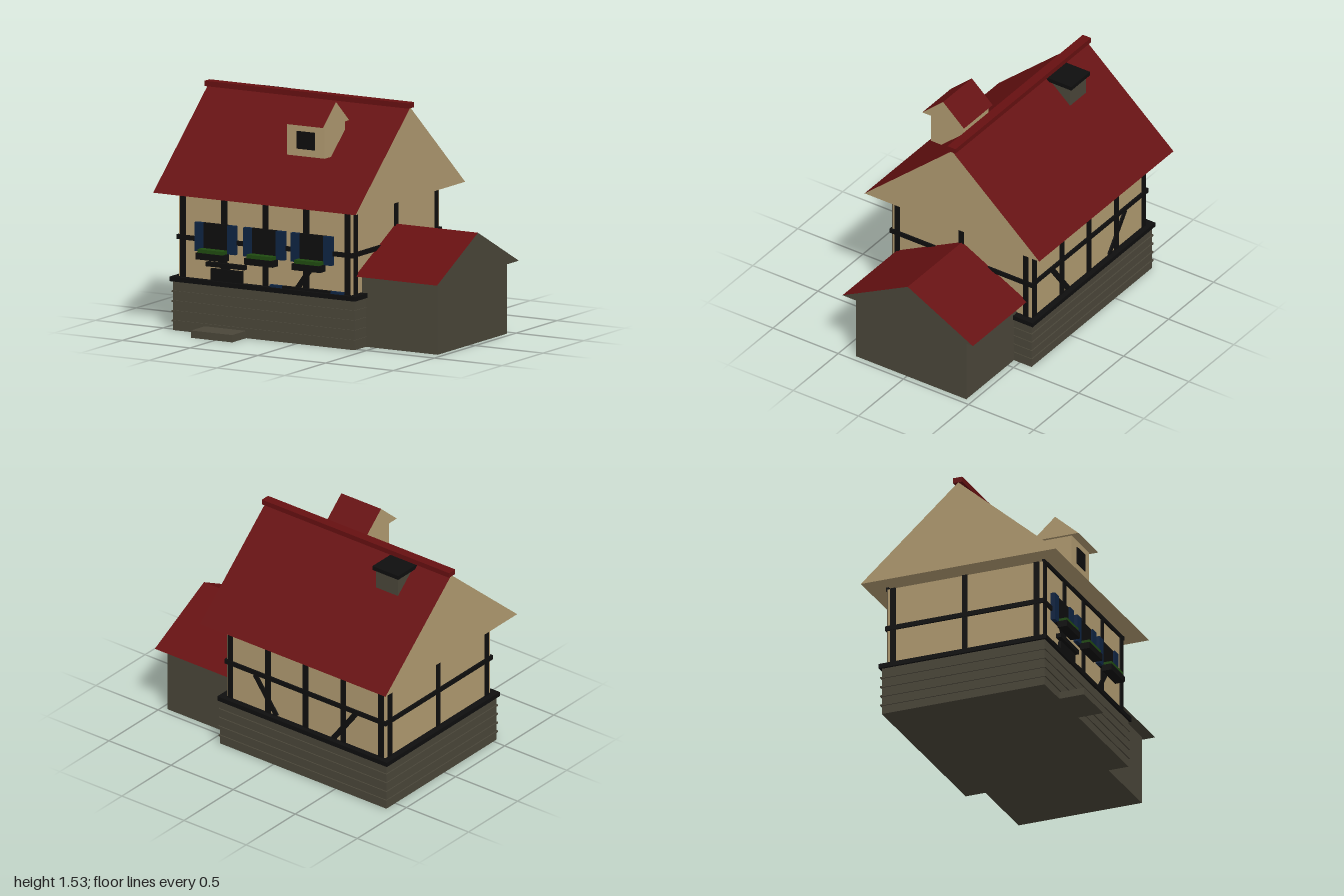
import * as THREE from 'three';

const mat = (name, color) => {
  const m = new THREE.MeshStandardMaterial({ color });
  m.name = name;
  return m;
};

export function createModel() {
  const red = mat('roof red', 0x661011);
  const plaster = mat('plaster', 0xb09a70);
  const stone = mat('stone', 0x4a4639);
  const timber = mat('dark timber', 0x0e0e0e);
  const blue = mat('shutter blue', 0x0e2442);
  const green = mat('plant green', 0x1f4a10);
  const house = new THREE.Group();
  house.name = 'house';

  // Box given by its minimum and maximum on each axis
  const box = (name, m, x0, x1, y0, y1, z0, z1, parent = house) => {
    const mesh = new THREE.Mesh(new THREE.BoxGeometry(x1 - x0, y1 - y0, z1 - z0), m);
    mesh.position.set((x0 + x1) / 2, (y0 + y1) / 2, (z0 + z1) / 2);
    mesh.name = name;
    parent.add(mesh);
    return mesh;
  };

  // Gabled prism along x: red slopes, gables and underside in another colour
  const gable = (name, gableMat, x0, x1, y0, y1, zMid, half) => {
    const tri = new THREE.Shape([
      new THREE.Vector2(-half, y0), new THREE.Vector2(half, y0), new THREE.Vector2(0, y1),
    ]);
    let g = new THREE.ExtrudeGeometry(tri, { depth: x1 - x0, bevelEnabled: false });
    if (g.index) g = g.toNonIndexed();
    g.rotateY(Math.PI / 2);
    g.computeVertexNormals();
    g.clearGroups();
    const n = g.attributes.normal;
    for (let i = 0; i < n.count; i += 3) g.addGroup(i, 3, n.getY(i) > 0.1 ? 0 : 1);
    const mesh = new THREE.Mesh(g, [red, gableMat]);
    mesh.position.set(x0, 0, zMid);
    mesh.name = name;
    house.add(mesh);
  };

  // Stone base with projecting courses, sill and door step
  box('stoneBase', stone, -0.91, 0.43, 0, 0.32, -0.59, 0.53);
  for (const y of [0.06, 0.123, 0.187, 0.25]) {
    box('stoneCourse', stone, -0.917, 0.436, y - 0.005, y + 0.005, -0.598, 0.538);
  }
  box('sill', timber, -0.925, 0.44, 0.315, 0.345, -0.605, 0.545);
  box('doorStep', stone, -0.675, -0.37, 0, 0.047, 0.53, 0.7);

  // Plaster storey
  box('walls', plaster, -0.88, 0.393, 0.34, 0.875, -0.563, 0.503);

  // Timber frame on front and back
  const frame = new THREE.Group();
  frame.name = 'timberFrame';
  house.add(frame);
  for (const [z0, z1] of [[0.5, 0.513], [-0.573, -0.56]]) {
    for (const x of [-0.85, -0.545, -0.24, 0.06, 0.365]) {
      box('post', timber, x - 0.02, x + 0.02, 0.34, 0.88, z0, z1, frame);
    }
    box('rail', timber, -0.89, 0.405, 0.585, 0.615, z0 - 0.003, z1 + 0.003, frame);
    box('topBeam', timber, -0.877, 0.395, 0.867, 0.895, z0 - 0.003, z1 + 0.003, frame);
    // Diagonal braces between sill and rail
    for (const [xb, xt] of [[-0.01, 0.165], [-0.465, -0.645]]) {
      const dx = xt - xb, dy = 0.24;
      const brace = box('brace', timber, -0.0175, 0.0175, 0, Math.hypot(dx, dy), z0, z1, frame);
      brace.position.set((xb + xt) / 2, 0.465, (z0 + z1) / 2);
      brace.rotation.z = -Math.atan2(dx, dy);
    }
  }

  // Timber frame on both gable sides
  for (const [x0, x1] of [[0.39, 0.403], [-0.89, -0.877]]) {
    for (const z of [0.463, -0.03, -0.523]) {
      box('sidePost', timber, x0, x1, 0.34, 0.875, z - 0.018, z + 0.018, frame);
    }
    box('sideRail', timber, x0 - 0.003, x1 + 0.003, 0.585, 0.615, -0.575, 0.516, frame);
  }

  // Windows with shutters and flower boxes
  for (const x of [-0.6, -0.24, 0.11]) {
    const win = new THREE.Group();
    win.name = 'window';
    house.add(win);
    box('pane', timber, x - 0.1, x + 0.1, 0.525, 0.71, 0.5, 0.522, win);
    for (const s of [-1, 1]) {
      box('shutter', blue, x + s * 0.12 - 0.03, x + s * 0.12 + 0.03, 0.525, 0.71, 0.503, 0.533, win);
    }
    box('flowerBox', timber, x - 0.105, x + 0.105, 0.485, 0.527, 0.53, 0.595, win);
    box('plants', green, x - 0.092, x + 0.092, 0.527, 0.55, 0.535, 0.59, win);
  }

  // Door with canopy, and a low shuttered opening beside it
  box('door', timber, -0.635, -0.405, 0.32, 0.422, 0.5, 0.525);
  box('doorCanopy', timber, -0.665, -0.38, 0.435, 0.463, 0.5, 0.538);
  box('lowOpening', timber, -0.11, 0.25, 0.33, 0.36, 0.5, 0.522);
  box('lowShutter', blue, -0.2, -0.11, 0.33, 0.36, 0.5, 0.528);
  box('lowShutter', blue, 0.25, 0.34, 0.33, 0.36, 0.5, 0.528);

  // Main roof and ridge
  gable('mainRoof', plaster, -0.99, 0.503, 0.892, 1.477, -0.03, 0.67);
  box('ridge', red, -0.997, 0.51, 1.474, 1.508, -0.062, 0);

  // Dormer
  box('dormer', plaster, -0.155, 0.125, 1.178, 1.387, 0.145, 0.39);
  box('dormerWindow', timber, -0.08, 0.053, 1.225, 1.338, 0.388, 0.397);
  gable('dormerRoof', plaster, -0.175, 0.145, 1.386, 1.528, 0.285, 0.16);

  // Chimney
  box('chimney', stone, -0.71, -0.535, 1.2, 1.445, -0.22, -0.07);
  box('chimneyCap', timber, -0.728, -0.52, 1.443, 1.47, -0.24, -0.05);

  // Side annex
  box('annex', stone, 0.4, 0.96, 0, 0.462, -0.455, 0.392);
  gable('annexRoof', stone, 0.394, 1, 0.46, 0.72, -0.033, 0.5);

  return house;
}
